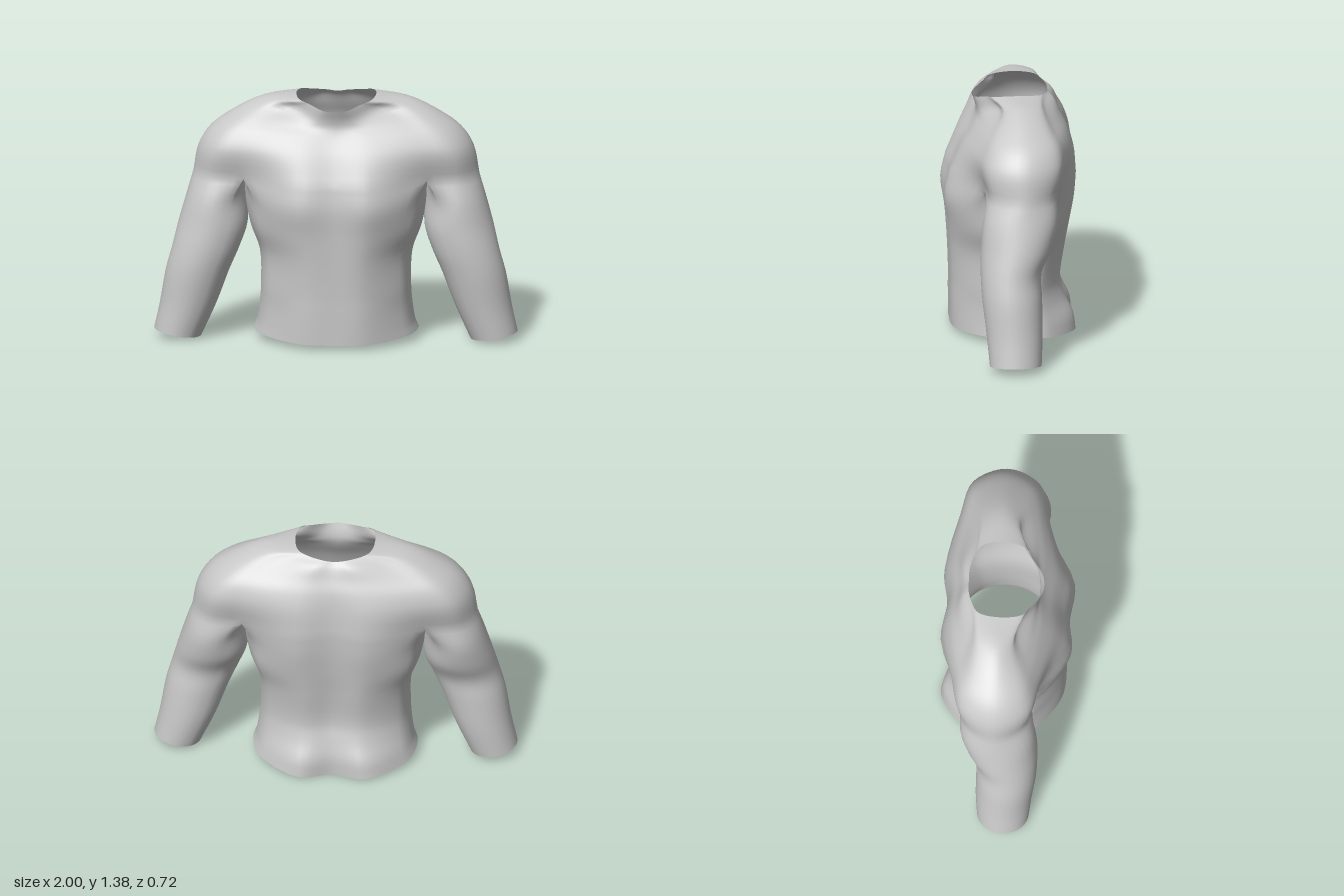
import * as THREE from 'three';
import { mergeGeometries, mergeVertices } from 'three/addons/utils/BufferGeometryUtils.js';

const N = 5; // samples between two control points of a section
const V = (x, y, z) => new THREE.Vector3(x, y, z);
const mix = THREE.MathUtils.lerp;

// Half section, front centre -> left side -> back centre, from
// [yFront, ySide, yBack, halfWidth, then z at: centre, chest, corner | corner, back, spine].
// fx: x of chest, corner and round as fractions of the width; k: depth of the round
function halfRing([yF, yS, yB, w, f0, f2, f5, b5, b2, b0], fx, k, side = (f5 + b5) / 2) {
  const half = [
    V(0, yF, f0), V(w * fx[0], yF, f2), V(w * fx[1], mix(yF, yS, 0.5), f5),
    V(w * fx[2], mix(yF, yS, 0.8), mix(side, f5, k)),
    V(w, yS, side),
    V(w * fx[2], mix(yB, yS, 0.8), mix(side, b5, k)),
    V(w * fx[1], mix(yB, yS, 0.5), b5), V(w * fx[0], mix(yB, yS, 0.2), b2), V(0, yB, b0),
  ];
  const mirrored = half.slice(1, -1).reverse().map((p) => V(-p.x, p.y, p.z));
  const curve = new THREE.CatmullRomCurve3([...half, ...mirrored], true);
  return Array.from({ length: 8 * N + 1 }, (_, i) => curve.getPoint(i / (16 * N)));
}

// Sleeve section: an ellipse starting and ending at its inner front
function armRing([y, xIn, xOut, zF, zB, tilt = 0]) {
  const ring = [];
  for (let i = 0; i <= 8 * N; i++) {
    const t = i / (4 * N);
    const a = THREE.MathUtils.degToRad(t <= 1 ? 120 - 240 * t : -120 - 120 * (t - 1));
    ring.push(V((xIn + xOut) / 2 + Math.cos(a) * (xOut - xIn) / 2,
      y + tilt * Math.cos(a),
      (zF + zB) / 2 + Math.sin(a) * (zF - zB) / 2));
  }
  return ring;
}

// Smooth skin through a stack of sections; mirror = -1 makes the other half
function loft(rings, rows, mirror) {
  const cols = rings[0].length;
  const pos = [], index = [];
  for (let c = 0; c < cols; c++) {
    const curve = new THREE.CatmullRomCurve3(rings.map((r) => r[c]));
    for (let r = 0; r <= rows; r++) {
      const p = curve.getPoint(r / rows);
      pos.push(p.x * mirror, p.y, p.z);
    }
  }
  for (let c = 0; c < cols - 1; c++) {
    for (let r = 0; r < rows; r++) {
      const a = c * (rows + 1) + r, b = a + rows + 1;
      if (mirror > 0) index.push(a, b, b + 1, a, b + 1, a + 1);
      else index.push(a, b + 1, b, a, a + 1, b + 1);
    }
  }
  const g = new THREE.BufferGeometry();
  g.setAttribute('position', new THREE.Float32BufferAttribute(pos, 3));
  g.setIndex(index);
  return g;
}

export function createModel() {
  const group = new THREE.Group();
  const cloth = new THREE.MeshStandardMaterial({ color: 0xc8c8c8, side: THREE.DoubleSide });
  cloth.name = 'light grey';

  // Shoulders, from the armpits up to the neck opening
  const shoulderRings = [
    [0.93, 0.93, 0.93, 0.787, 0.325, 0.335, 0.175, -0.24, -0.355, -0.33],
    [1.08, 1.08, 1.08, 0.758, 0.26, 0.27, 0.205, -0.28, -0.342, -0.32],
    [1.18, 1.18, 1.18, 0.695, 0.2, 0.205, 0.17, -0.265, -0.31, -0.3],
    [1.23, 1.26, 1.25, 0.59, 0.183, 0.168, 0.125, -0.22, -0.272, -0.267],
    [1.27, 1.35, 1.31, 0.41, 0.187, 0.165, 0.07, -0.18, -0.242, -0.237],
    [1.325, 1.375, 1.34, 0.22, 0.205, 0.195, 0.135, -0.185, -0.21, -0.21],
  ].map((row) => halfRing(row, [0.26, 0.64, 0.89], 0.76, -0.035));

  // Armpit line, shared by the torso side and the sleeve
  const seam = shoulderRings[0];
  const front = seam[2 * N], back = seam[6 * N];
  const armpit = Array.from({ length: 4 * N + 1 }, (_, i) => {
    const p = front.clone().lerp(back, i / (4 * N));
    p.y += 0.03 * Math.sin(Math.PI * i / (4 * N));
    return p;
  });

  // Torso, from the hem up to the armpits
  const torsoRings = [
    [0.03, 0.055, 0.0, 0.452, 0.33, 0.31, 0.16, -0.21, -0.355, -0.305],
    [0.1, 0.1, 0.1, 0.435, 0.33, 0.313, 0.165, -0.2, -0.342, -0.305],
    [0.2, 0.2, 0.2, 0.42, 0.33, 0.315, 0.17, -0.175, -0.295, -0.28],
    [0.3, 0.3, 0.3, 0.413, 0.33, 0.315, 0.18, -0.165, -0.27, -0.255],
    [0.5, 0.5, 0.5, 0.42, 0.335, 0.325, 0.18, -0.19, -0.295, -0.275],
    [0.65, 0.65, 0.65, 0.472, 0.34, 0.34, 0.2, -0.22, -0.32, -0.3],
    [0.8, 0.8, 0.8, 0.5, 0.345, 0.362, 0.205, -0.23, -0.345, -0.32],
  ].map((row) => halfRing(row, [0.41, 0.86, 0.965], 0.55));
  torsoRings.push([...seam.slice(0, 2 * N), ...armpit, ...seam.slice(6 * N + 1)]);

  // Sleeves, from the cuffs up to the armpits
  const armRings = [
    [0.03, 0.74, 1.0, 0.165, -0.12, 0.02],
    [0.2, 0.655, 0.968, 0.18, -0.13],
    [0.39, 0.585, 0.935, 0.2, -0.13],
    [0.52, 0.53, 0.9, 0.205, -0.13],
    [0.65, 0.487, 0.868, 0.2, -0.19],
    [0.8, 0.49, 0.825, 0.185, -0.225],
  ].map(armRing);
  armRings.push([...seam.slice(2 * N, 6 * N + 1), ...armpit.slice(0, -1).reverse()]);

  const parts = [
    ['leftShoulder', loft(shoulderRings, 20, 1)], ['rightShoulder', loft(shoulderRings, 20, -1)],
    ['leftTorso', loft(torsoRings, 28, 1)], ['rightTorso', loft(torsoRings, 28, -1)],
    ['leftSleeve', loft(armRings, 24, 1)], ['rightSleeve', loft(armRings, 24, -1)],
  ];

  // Weld everything so the shading runs smoothly across the parts, then split by part
  const skin = mergeVertices(mergeGeometries(parts.map((p) => p[1])), 1e-4);
  skin.computeVertexNormals();
  let start = 0;
  for (const [name, g] of parts) {
    const count = g.index.count;
    const piece = new THREE.BufferGeometry();
    piece.setAttribute('position', skin.attributes.position);
    piece.setAttribute('normal', skin.attributes.normal);
    piece.setIndex(Array.from(skin.index.array.slice(start, start + count)));
    start += count;
    const mesh = new THREE.Mesh(piece, cloth);
    mesh.name = name;
    group.add(mesh);
  }
  return group;
}
